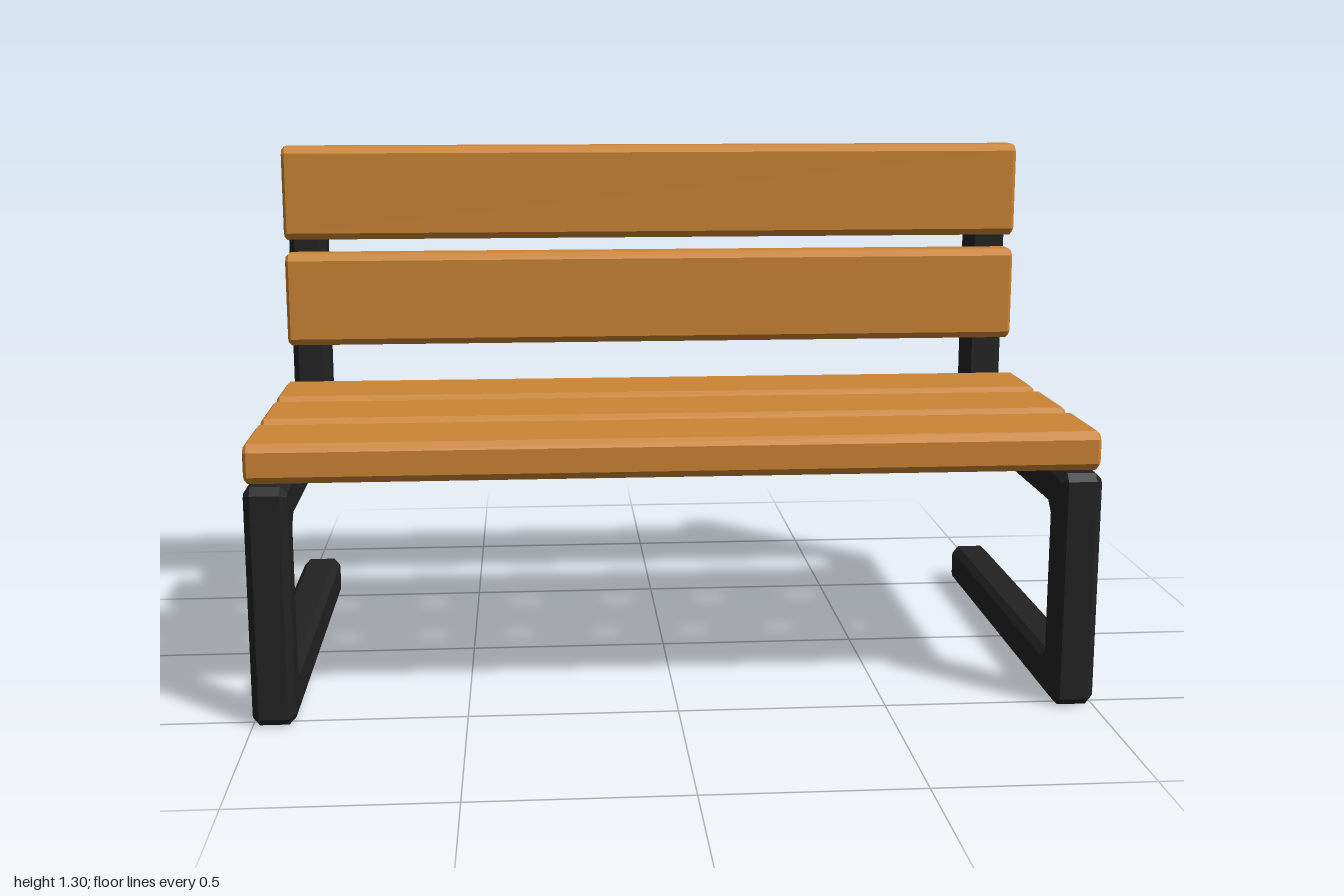
import * as THREE from 'three';

// Closed outline with every corner cut by c
function chamferedShape(points, c) {
  const corners = points.map(([x, y]) => new THREE.Vector2(x, y));
  const n = corners.length;
  const cut = [];
  corners.forEach((p, i) => {
    for (const q of [corners[(i + n - 1) % n], corners[(i + 1) % n]]) {
      cut.push(q.clone().sub(p).setLength(c).add(p));
    }
  });
  return new THREE.Shape(cut);
}

// Extrude a (z, y) outline along x, centred on x = 0, with bevelled ends
function extrudeAlongX(points, width, chamfer, bevel) {
  const geometry = new THREE.ExtrudeGeometry(chamferedShape(points, chamfer), {
    depth: width - 2 * bevel,
    bevelEnabled: true,
    bevelSegments: 1,
    bevelThickness: bevel,
    bevelSize: bevel,
    bevelOffset: -bevel,
  });
  geometry.translate(0, 0, bevel - width / 2);
  geometry.rotateY(-Math.PI / 2);
  return geometry;
}

export function createModel() {
  const bench = new THREE.Group();
  bench.name = 'bench';

  const wood = new THREE.MeshStandardMaterial({ color: 0xcc8534 });
  wood.name = 'warm wood';
  const metal = new THREE.MeshStandardMaterial({ color: 0x222222 });
  metal.name = 'black metal';

  // Side frames: foot, front leg, seat beam and back post in one bent bar
  const frameOutline = [
    [-0.54, 0], [0.54, 0], [0.54, 0.573], [-0.435, 0.573],
    [-0.435, 1.257], [-0.54, 1.257], [-0.54, 0.473], [0.44, 0.473],
    [0.44, 0.105], [-0.54, 0.105],
  ];
  const frameGeometry = extrudeAlongX(frameOutline, 0.1, 0.018, 0.016);
  for (const side of [1, -1]) {
    const frame = new THREE.Mesh(frameGeometry, metal);
    frame.name = side > 0 ? 'leftFrame' : 'rightFrame';
    frame.position.x = side * 0.95;
    bench.add(frame);
  }

  // Planks: one geometry, laid flat for the seat and upright for the back
  const w = 0.125, t = 0.047;
  const plankGeometry = extrudeAlongX([[-w, -t], [w, -t], [w, t], [-w, t]], 2, 0.018, 0.008);
  const addPlank = (name, y, z, tilt) => {
    const plank = new THREE.Mesh(plankGeometry, wood);
    plank.name = name;
    plank.position.set(0, y, z);
    plank.rotation.x = tilt;
    bench.add(plank);
  };
  [0.389, 0.1, -0.19].forEach((z, i) => addPlank(`seatPlank${i + 1}`, 0.621, z, 0));
  [0.883, 1.172].forEach((y, i) => addPlank(`backPlank${i + 1}`, y, -0.387, Math.PI / 2));

  return bench;
}
